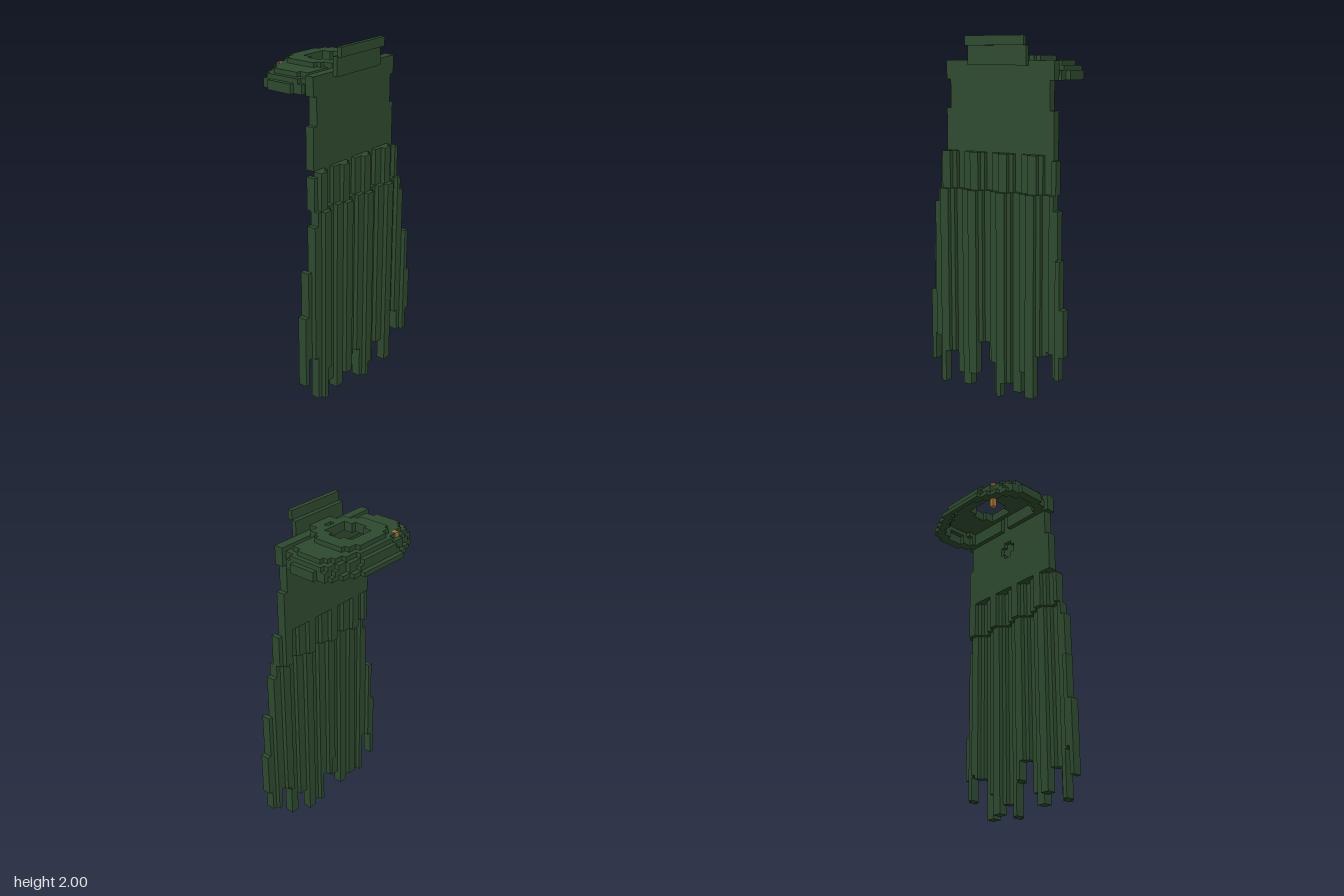
import * as THREE from 'three';
import { mergeGeometries } from 'three/addons/utils/BufferGeometryUtils.js';

const V = 2 / 76; // edge of one block

// Box between block coordinates
function block(x0, x1, y0, y1, z0, z1) {
  const g = new THREE.BoxGeometry((x1 - x0) * V, (y1 - y0) * V, (z1 - z0) * V);
  g.translate(((x0 + x1) / 2) * V, ((y0 + y1) / 2) * V, ((z0 + z1) / 2) * V);
  return g;
}

// Cape wave: back face of the cloth at column x, repeating every 7 blocks
function fold(x) {
  const p = (((x - 1) % 7) + 7) % 7;
  if (p < 2) return 8;
  if (p === 3 || p === 4) return 6;
  return 7;
}

// Half width of a layer at row z, from [zStart, zEnd, half] spans
function halfAt(spans, z) {
  const s = spans.find(([a, b]) => z >= a && z < b);
  return s ? s[2] : 0;
}

const neckHole = [[-4, -2, 3], [-2, 1, 4], [1, 3, 3]];

// Mantle layers from the bottom up; hollow ones are rims two blocks thick
const mantleLayers = [
  { y: 67, hollow: true, spans: [[-10, -9, 6], [-9, -8, 8], [-8, -7, 10], [-7, -6, 12], [-6, -4, 13], [-4, 2, 14], [2, 4, 13], [4, 5, 12]] },
  { y: 68, hollow: true, spans: [[-9, -8, 6], [-8, -7, 8], [-7, -6, 11], [-6, -4, 13], [-4, 2, 14], [2, 4, 13], [4, 5, 12]] },
  { y: 69, hollow: true, spans: [[-9, -8, 5], [-8, -7, 8], [-7, -6, 10], [-6, -5, 12], [-5, 3, 13], [3, 5, 12]] },
  { y: 70, hollow: false, spans: [[-8, -7, 5], [-7, -6, 8], [-6, -5, 10], [-5, -4, 11], [-4, 2, 12], [2, 4, 11], [4, 5, 5]] },
  { y: 71, hollow: false, spans: [[-7, -6, 4], [-6, -5, 6], [-5, 2, 7], [2, 3, 6], [3, 5, 5], [5, 7, 3]] },
];

function mantleGeometry() {
  const parts = [];
  for (const { y, hollow, spans } of mantleLayers) {
    for (let z = -10; z < 7; z++) {
      const out = halfAt(spans, z);
      if (!out) continue;
      let inner = hollow
        ? Math.min(halfAt(spans, z - 1), out, halfAt(spans, z + 1)) - 2
        : halfAt(neckHole, z);
      if (z === 4) inner = 1; // small slot next to the cape
      if (inner > 0) {
        parts.push(block(-out, -inner, y, y + 1, z, z + 1), block(inner, out, y, y + 1, z, z + 1));
      } else {
        parts.push(block(-out, out, y, y + 1, z, z + 1));
      }
    }
  }
  return mergeGeometries(parts);
}

// Flat upper cape, with a small cross-shaped recess on the inner face
function panelGeometry() {
  const parts = [];
  for (const [y0, y1, w] of [[52, 61, 13], [61, 67, 12], [67, 71, 13]]) {
    parts.push(block(-w, w, y0, y1, 6, 7));
  }
  parts.push(block(-13, 13, 52, 60, 5, 6), block(-13, 13, 67, 71, 5, 6), block(-12, 12, 64, 67, 5, 6));
  for (let y = 60; y < 64; y++) {
    const w = y < 61 ? 13 : 12;
    const r = y === 60 || y === 63 ? 1 : 2;
    parts.push(block(-w, -r, y, y + 1, 5, 6), block(r, w, y, y + 1, 5, 6));
  }
  return mergeGeometries(parts);
}

// Pleated middle band, one block closer to the body than the strips
function pleatGeometry() {
  const parts = [];
  for (let x = -14; x < 14; x++) {
    const top = x === -14 || x === 13 ? 51 : 52;
    const z = fold(x) - 1;
    parts.push(block(x, x + 1, 44, top, z, z + 2));
  }
  return mergeGeometries(parts);
}

// Hem height of each two-block strip, from -x to +x
const hems = [5, 11, 1, 8, 3, 1, 4, 11, 7, 0, 3, 1, 6, 1, 10, 11, 6, 11];

function stripGeometry() {
  const parts = [];
  for (let x = -17; x < 17; x++) {
    const edge = Math.max(-x, x + 1);
    const top = edge <= 14 ? 44 : { 15: 41, 16: 31, 17: 21 }[edge];
    const hem = hems[Math.floor((x + 18) / 2)];
    parts.push(block(x, x + 1, hem, top, fold(x), fold(x) + 2));
  }
  return mergeGeometries(parts);
}

export function createModel() {
  const cloth = new THREE.MeshStandardMaterial({ color: 0x2e4a2f });
  cloth.name = 'dark green cloth';
  const copper = new THREE.MeshStandardMaterial({ color: 0xb0743a });
  copper.name = 'copper';

  const group = new THREE.Group();
  group.name = 'cape';
  const add = (name, geometry, material) => {
    const mesh = new THREE.Mesh(geometry, material);
    mesh.name = name;
    group.add(mesh);
  };

  add('mantle', mantleGeometry(), cloth);
  add('standingCollar', mergeGeometries([
    block(-7, 7, 70, 74, 7, 8),
    block(-7, 7, 74, 76, 8, 9),
  ]), cloth);
  add('upperCape', panelGeometry(), cloth);
  add('pleats', pleatGeometry(), cloth);
  add('hangingStrips', stripGeometry(), cloth);

  // Clasp passing through the mantle on the right side
  add('clasp', mergeGeometries([
    block(-8.02, -7, 65, 71.02, -7.02, -6),
    block(-9, -6, 68, 69.9, -6.1, -5),
  ]), copper);
  return group;
}
